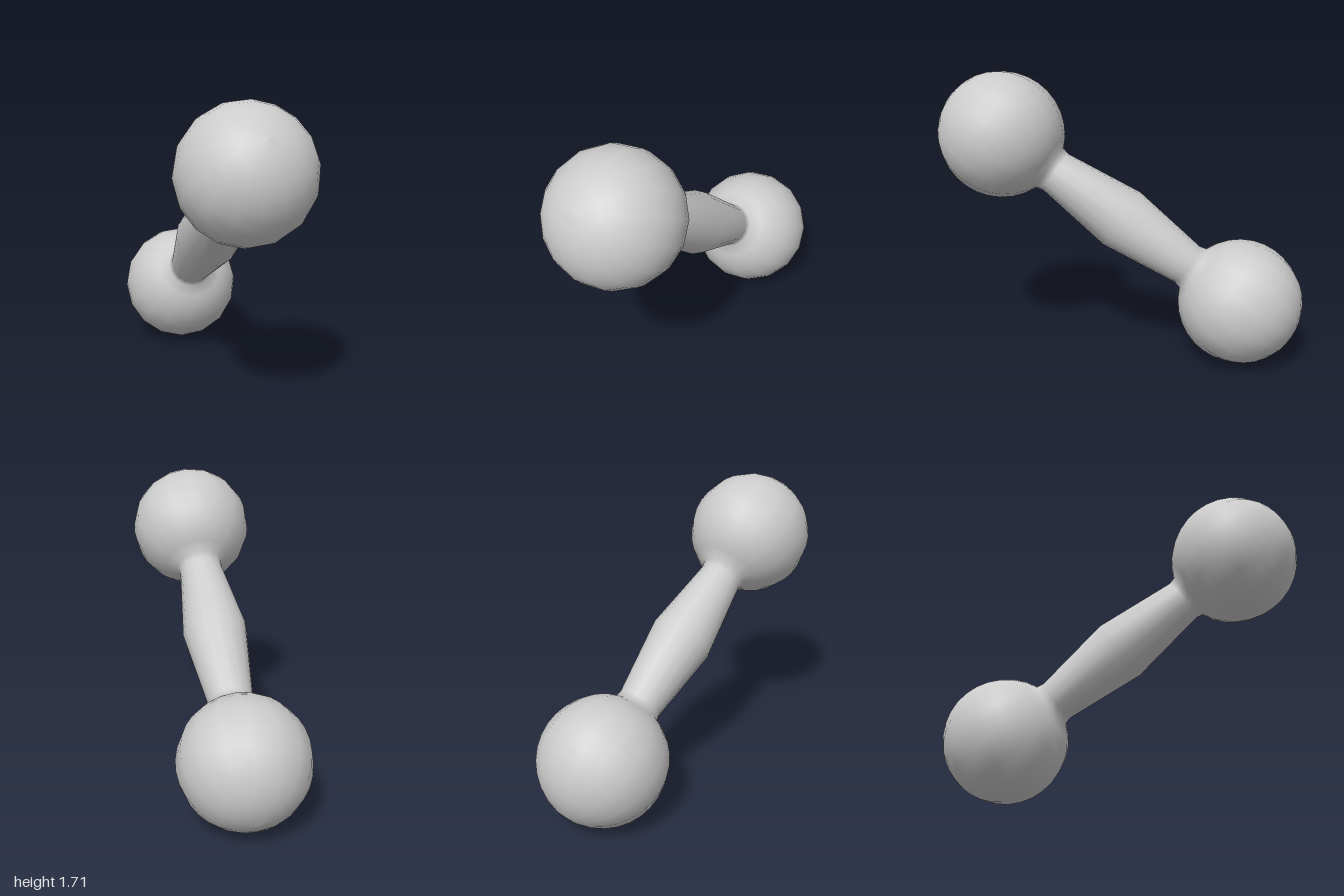
import * as THREE from 'three';

const END = new THREE.Vector3(0.325, 1.335, 0.63); // centre of the upper front ball
const MID = new THREE.Vector3(0, 0.85, 0);
const R = 0.369;

export function createModel() {
  const group = new THREE.Group();
  group.name = 'dumbbell';
  const material = new THREE.MeshStandardMaterial({ color: 0xcccccc });

  const axis = END.clone().sub(MID);
  const reach = axis.length();

  // Half profile: belly of the grip, neck, then the ball out to its pole
  const half = [[0.19, 0], [0.13, 0.475]];
  const rings = 14;
  for (let i = 0; i <= rings; i++) {
    const a = THREE.MathUtils.lerp(0.39, Math.PI, i / rings);
    half.push([i === rings ? 0 : R * Math.sin(a), reach - R * Math.cos(a)]);
  }

  // Mirror the profile so both ends share one continuous smooth surface
  const profile = [
    ...half.slice(1).reverse().map(([r, y]) => new THREE.Vector2(r, -y)),
    ...half.map(([r, y]) => new THREE.Vector2(r, y)),
  ];

  // Weighted balls and tapered handle, tilted along the diagonal
  const body = new THREE.Mesh(new THREE.LatheGeometry(profile, 16), material);
  body.name = 'ballsAndHandle';
  body.quaternion.setFromUnitVectors(new THREE.Vector3(0, 1, 0), axis.normalize());
  body.position.copy(MID);
  group.add(body);

  return group;
}
